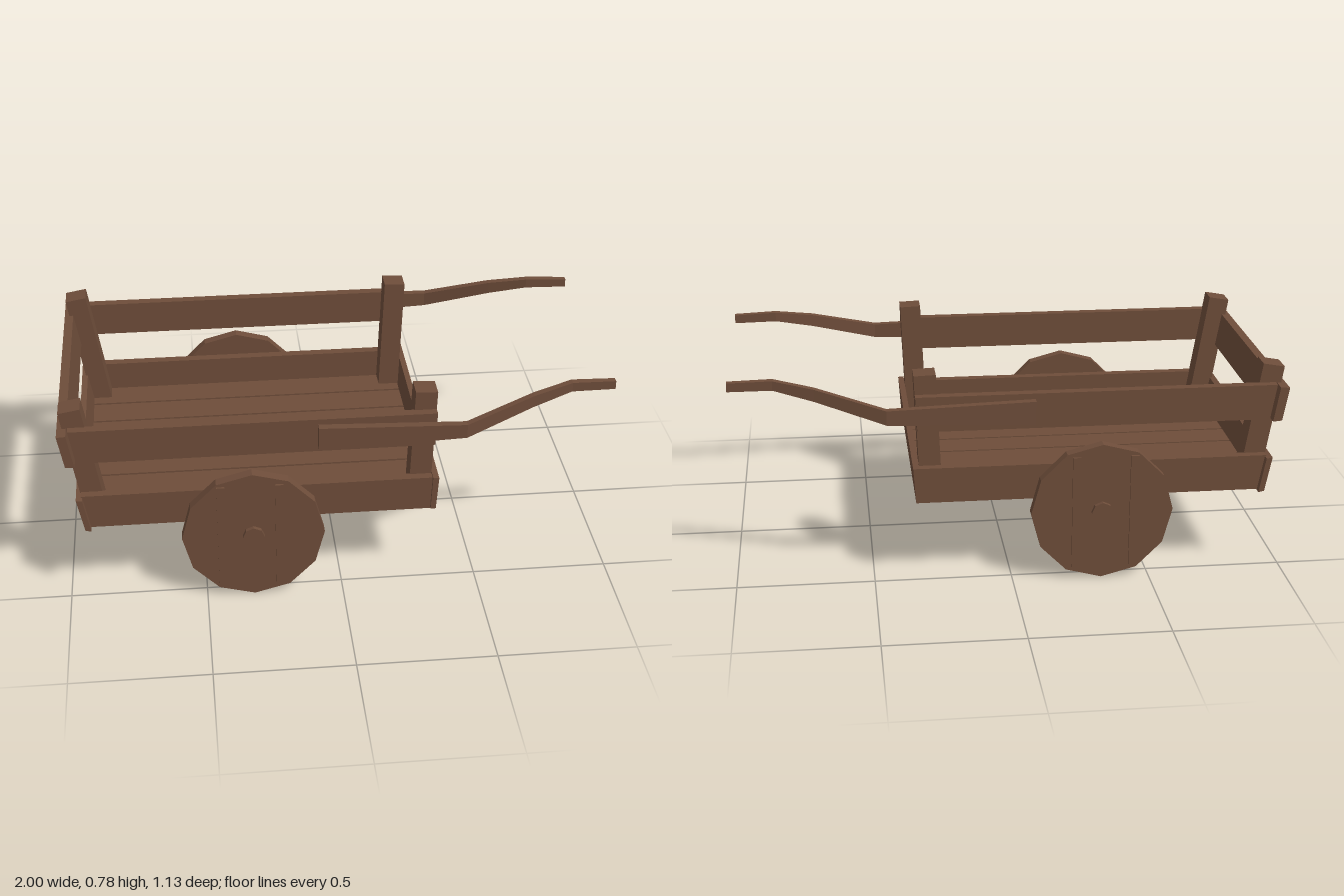
import * as THREE from 'three';

const wood = new THREE.MeshStandardMaterial({ color: 0x6e4d3a, flatShading: true });
wood.name = 'brown wood';

export function createModel() {
  const cart = new THREE.Group();
  cart.name = 'handcart';

  const add = (name, geometry) => {
    const mesh = new THREE.Mesh(geometry, wood);
    mesh.name = name;
    cart.add(mesh);
    return mesh;
  };

  // Straight timber: an outline in x/y, extruded from z0 to z1
  const timber = (name, outline, z0, z1) => {
    const shape = new THREE.Shape(outline.map(([x, y]) => new THREE.Vector2(x, y)));
    const geo = new THREE.ExtrudeGeometry(shape, { depth: z1 - z0, bevelEnabled: false });
    geo.translate(0, 0, z0);
    return add(name, geo);
  };

  // Mirrored pair of timbers at +z and -z
  const pair = (name, outline, z0, z1) => {
    timber(name + 'Front', outline, z0, z1);
    timber(name + 'Back', outline, -z1, -z0);
  };

  // Floor planks with narrow gaps
  const edges = [-0.466, -0.335, -0.198, -0.06, 0.07, 0.195, 0.328, 0.466];
  for (let i = 0; i < 7; i++) {
    const z0 = edges[i] + 0.005, z1 = edges[i + 1] - 0.005;
    timber('floorPlank' + (i + 1), [[-0.918, 0.302], [0.325, 0.302], [0.325, 0.325], [-0.918, 0.325]], z0, z1);
  }

  // Long side boards, cut to the slant of the ends
  pair('lowerSideBoard', [[-0.912, 0.303], [0.328, 0.303], [0.333, 0.435], [-0.935, 0.435]], 0.465, 0.5);
  pair('upperSideBoard', [[-0.94, 0.575], [0.336, 0.575], [0.342, 0.705], [-0.962, 0.705]], 0.465, 0.5);

  // Leaning corner posts
  pair('rearPost', [[-0.917, 0.305], [-0.84, 0.318], [-0.914, 0.777], [-0.992, 0.763]], 0.387, 0.469);
  pair('handlePost', [[0.247, 0.305], [0.326, 0.303], [0.345, 0.774], [0.266, 0.777]], 0.387, 0.469);

  // End boards
  timber('lowerRearBoard', [[-0.927, 0.305], [-0.906, 0.3], [-0.93, 0.431], [-0.952, 0.435]], -0.525, 0.525);
  timber('upperRearBoard', [[-0.978, 0.577], [-0.945, 0.574], [-0.967, 0.703], [-1, 0.701]], -0.525, 0.525);
  timber('handleEndBoard', [[0.326, 0.308], [0.345, 0.308], [0.354, 0.439], [0.332, 0.441]], -0.512, 0.512);

  // Axle
  const axle = add('axle', new THREE.CylinderGeometry(0.04, 0.04, 1.128, 8));
  axle.rotation.x = Math.PI / 2;
  axle.position.set(-0.325, 0.26, 0);

  // Solid wheels with two battens on the outer face
  for (const s of [1, -1]) {
    const side = s > 0 ? 'Front' : 'Back';
    const wheel = add('wheel' + side, new THREE.CylinderGeometry(0.259, 0.259, 0.04, 12));
    wheel.rotation.x = Math.PI / 2;
    wheel.position.set(-0.325, 0.26, s * 0.528);
    for (const x of [-0.44, -0.23]) {
      const batten = add('wheelBatten' + side, new THREE.BoxGeometry(0.03, 0.43, 0.012));
      batten.position.set(x, 0.26, s * 0.55);
    }
    add('handle' + side, handleGeometry(s));
  }
  return cart;
}

// Bent handle: rectangular cross-sections joined in a loop
function handleGeometry(s) {
  // x, bottom, top, inner z, outer z
  const sections = [
    [-0.085, 0.595, 0.685, 0.5, 0.53],
    [0.445, 0.617, 0.67, 0.505, 0.532],
    [0.695, 0.692, 0.737, 0.441, 0.467],
    [0.84, 0.727, 0.762, 0.406, 0.432],
    [1, 0.725, 0.757, 0.403, 0.426],
  ];
  const positions = [], index = [];
  for (const [x, y0, y1, z0, z1] of sections) {
    positions.push(x, y0, s * z0, x, y1, s * z0, x, y1, s * z1, x, y0, s * z1);
  }
  const quad = (a, b, c, d) => {
    if (s > 0) index.push(a, b, c, a, c, d);
    else index.push(a, c, b, a, d, c);
  };
  const last = (sections.length - 1) * 4;
  for (let i = 0; i < last; i += 4) {
    for (let j = 0; j < 4; j++) {
      const k = (j + 1) % 4;
      quad(i + j, i + k, i + 4 + k, i + 4 + j);
    }
  }
  quad(3, 2, 1, 0);
  quad(last, last + 1, last + 2, last + 3);
  const geo = new THREE.BufferGeometry();
  geo.setAttribute('position', new THREE.Float32BufferAttribute(positions, 3));
  geo.setIndex(index);
  const flat = geo.toNonIndexed();
  flat.computeVertexNormals();
  return flat;
}
